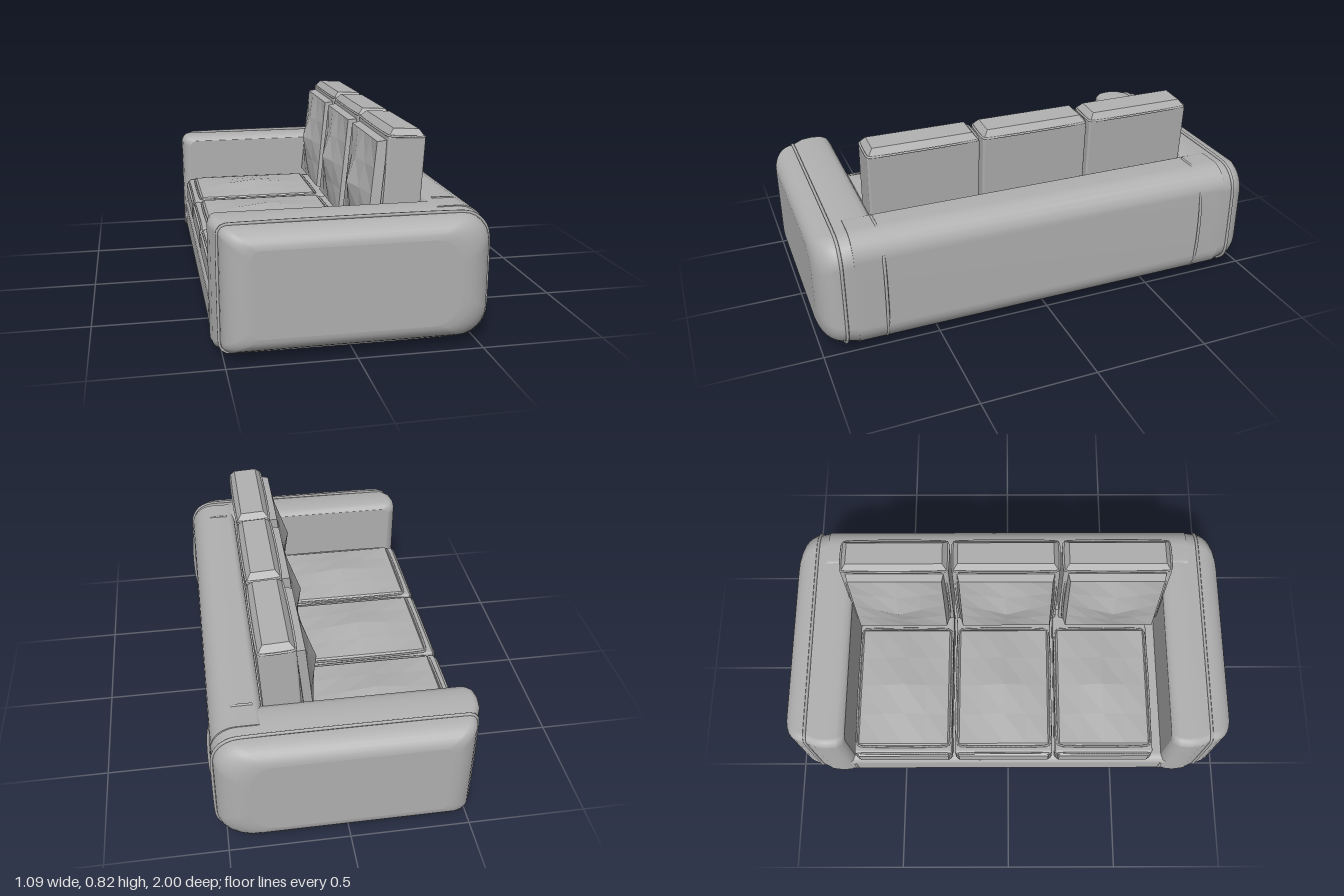
import * as THREE from 'three';
import { RoundedBoxGeometry } from 'three/addons/geometries/RoundedBoxGeometry.js';

const fabric = new THREE.MeshStandardMaterial({ color: 0xb0b0b0 });
fabric.name = 'grey fabric';

function add(parent, name, geometry, x = 0, y = 0, z = 0) {
  const mesh = new THREE.Mesh(geometry, fabric);
  mesh.name = name;
  mesh.position.set(x, y, z);
  parent.add(mesh);
  return mesh;
}

// Rounded rectangle, counter-clockwise, with separate radii at the +x and -x ends
function ring(x0, x1, y0, y1, rBack, rFront, n = 6) {
  const corners = [
    [x1 - rBack, y0 + rBack, rBack, -90], [x1 - rBack, y1 - rBack, rBack, 0],
    [x0 + rFront, y1 - rFront, rFront, 90], [x0 + rFront, y0 + rFront, rFront, 180],
  ];
  return corners.flatMap(([cx, cy, r, start]) => Array.from({ length: n + 1 }, (_, i) => {
    const a = THREE.MathUtils.degToRad(start + 90 * i / n);
    return new THREE.Vector2(cx + r * Math.cos(a), cy + r * Math.sin(a));
  }));
}

// Skin over rings placed at rising z, closed at both ends
function loft(sections) {
  const pos = [], idx = [], n = sections[0].points.length;
  const put = (s) => s.points.forEach((p) => pos.push(p.x, p.y, s.z));
  sections.forEach(put);
  for (let s = 0; s < sections.length - 1; s++) {
    for (let i = 0; i < n; i++) {
      const j = (i + 1) % n, a = s * n, b = a + n;
      idx.push(a + i, a + j, b + j, a + i, b + j, b + i);
    }
  }
  [sections[0], sections.at(-1)].forEach((s, end) => {
    const base = pos.length / 3;
    put(s);
    for (let i = 1; i < n - 1; i++) {
      if (end) idx.push(base, base + i, base + i + 1);
      else idx.push(base, base + i + 1, base + i);
    }
  });
  const g = new THREE.BufferGeometry();
  g.setAttribute('position', new THREE.Float32BufferAttribute(pos, 3));
  g.setIndex(idx);
  g.computeVertexNormals();
  return g;
}

// Padded panel: bevelled sides and a faceted crown on its +y face
function panel(w, thick, d, bevel, crown) {
  const g = new THREE.BoxGeometry(w, thick, d, 4, 1, 4).toNonIndexed();
  g.translate(0, thick / 2, 0);
  const p = g.attributes.position;
  for (let i = 0; i < p.count; i++) {
    if (p.getY(i) < thick / 2) continue;
    const u = p.getX(i) / (w / 2), v = p.getZ(i) / (d / 2);
    p.setXYZ(i, u * (w / 2 - bevel), thick + crown * (1 - Math.abs(u)) * (1 - Math.abs(v)), v * (d / 2 - bevel));
  }
  g.computeVertexNormals();
  return g;
}

function piping(points, closed, r = 0.006, segments = 90) {
  return new THREE.TubeGeometry(new THREE.CatmullRomCurve3(points, closed), segments, r, 6, closed);
}

// Piping around a rectangle lying flat in x and z
function rectPiping(w, d) {
  return piping(ring(-w / 2, w / 2, -d / 2, d / 2, 0.012, 0.012, 2)
    .map((p) => new THREE.Vector3(p.x, 0, p.y)), true, 0.005);
}

function armSection(z, front, back, edge) {
  return { z, points: ring(-0.54 + front, 0.54 - back, 0.008 + edge, 0.525 - edge, 0.11, 0.035) };
}

export function createModel() {
  const sofa = new THREE.Group();
  sofa.name = 'sofa';

  // Arms: soft inner edge, full middle, domed outer side
  const sections = [
    armSection(0.725, 0.04, 0.02, 0.025), armSection(0.735, 0.018, 0.01, 0.01),
    armSection(0.76, 0.004, 0.003, 0.002), armSection(0.8, 0, 0, 0), armSection(0.85, 0.006, 0, 0.002),
  ];
  for (let i = 0; i <= 8; i++) {
    const t = i / 8 * Math.PI / 2, k = 1 - Math.cos(t);
    sections.push(armSection(0.9 + 0.1 * Math.sin(t), 0.03 + 0.11 * k, 0.004 + 0.13 * k, 0.012 + 0.075 * k));
  }
  const armGeometry = loft(sections);
  const armSeam = piping(ring(-0.512, 0.538, 0.014, 0.515, 0.11, 0.035)
    .map((p) => new THREE.Vector3(p.x, p.y, 0.9)), true, 0.007, 140);
  const bodySeam = piping([
    [0.36, 0.525], [0.45, 0.52], [0.515, 0.475], [0.54, 0.41], [0.54, 0.12], [0.51, 0.045],
    [0.44, 0.01], [0.2, 0.007], [-0.48, 0.007], [-0.52, 0.03], [-0.532, 0.07], [-0.53, 0.15],
  ].map(([x, y]) => new THREE.Vector3(x, y, 0.73)), false, 0.007, 120);
  for (const side of [1, -1]) {
    const arm = new THREE.Group();
    arm.name = side > 0 ? 'armA' : 'armB';
    arm.scale.z = side;
    add(arm, 'armBody', armGeometry);
    add(arm, 'armSeam', armSeam);
    add(arm, 'bodySeam', bodySeam);
    sofa.add(arm);
  }

  // Back and base
  const backRing = ring(0.325, 0.54, 0.008, 0.527, 0.105, 0.03);
  add(sofa, 'back', loft([{ z: -0.85, points: backRing }, { z: 0.85, points: backRing }]));
  const baseRing = ring(-0.532, 0.42, 0.008, 0.185, 0.04, 0.04);
  add(sofa, 'base', loft([{ z: -0.76, points: baseRing }, { z: 0.76, points: baseRing }]));

  // Seat cushions
  [-0.486, -0.021, 0.444].forEach((z) => {
    const seat = new THREE.Group();
    seat.name = 'seatCushion';
    seat.position.z = z;
    add(seat, 'cushionBody', new RoundedBoxGeometry(0.72, 0.115, 0.452, 2, 0.012), -0.155, 0.2375, 0);
    add(seat, 'cushionTop', panel(0.58, 0.015, 0.435, 0.012, 0.03), -0.195, 0.29, 0);
    add(seat, 'topPiping', rectPiping(0.575, 0.43), -0.195, 0.297, 0);
    const front = add(seat, 'cushionFront', panel(0.095, 0.014, 0.43, 0.008, 0), -0.513, 0.238, 0);
    front.rotation.z = Math.PI / 2;
    const trim = add(seat, 'frontPiping', rectPiping(0.095, 0.43), -0.516, 0.238, 0);
    trim.rotation.z = Math.PI / 2;
    sofa.add(seat);
  });

  // Back cushions, leaning slightly backwards
  [-0.5, -0.008, 0.484].forEach((z) => {
    const cushion = new THREE.Group();
    cushion.name = 'backCushion';
    cushion.position.z = z;
    const frame = new THREE.Group();
    frame.name = 'cushionFrame';
    frame.position.set(0.23, 0.3, 0);
    frame.rotation.z = -0.058;
    add(frame, 'frameBody', new RoundedBoxGeometry(0.154, 0.49, 0.478, 2, 0.01), 0, 0.235, 0);
    add(frame, 'frameTop', panel(0.148, 0.028, 0.468, 0.022, 0), 0, 0.479, 0);
    add(frame, 'framePiping', rectPiping(0.148, 0.472), 0, 0.478, 0);
    cushion.add(frame);
    const pad = new THREE.Group();
    pad.name = 'cushionPad';
    pad.position.set(0.172, 0.54, 0);
    pad.rotation.z = Math.PI / 2 - 0.1;
    add(pad, 'padFront', panel(0.45, 0.05, 0.44, 0.012, 0.052));
    add(pad, 'padPiping', rectPiping(0.45, 0.44), 0, 0.008, 0);
    cushion.add(pad);
    sofa.add(cushion);
  });

  return sofa;
}
